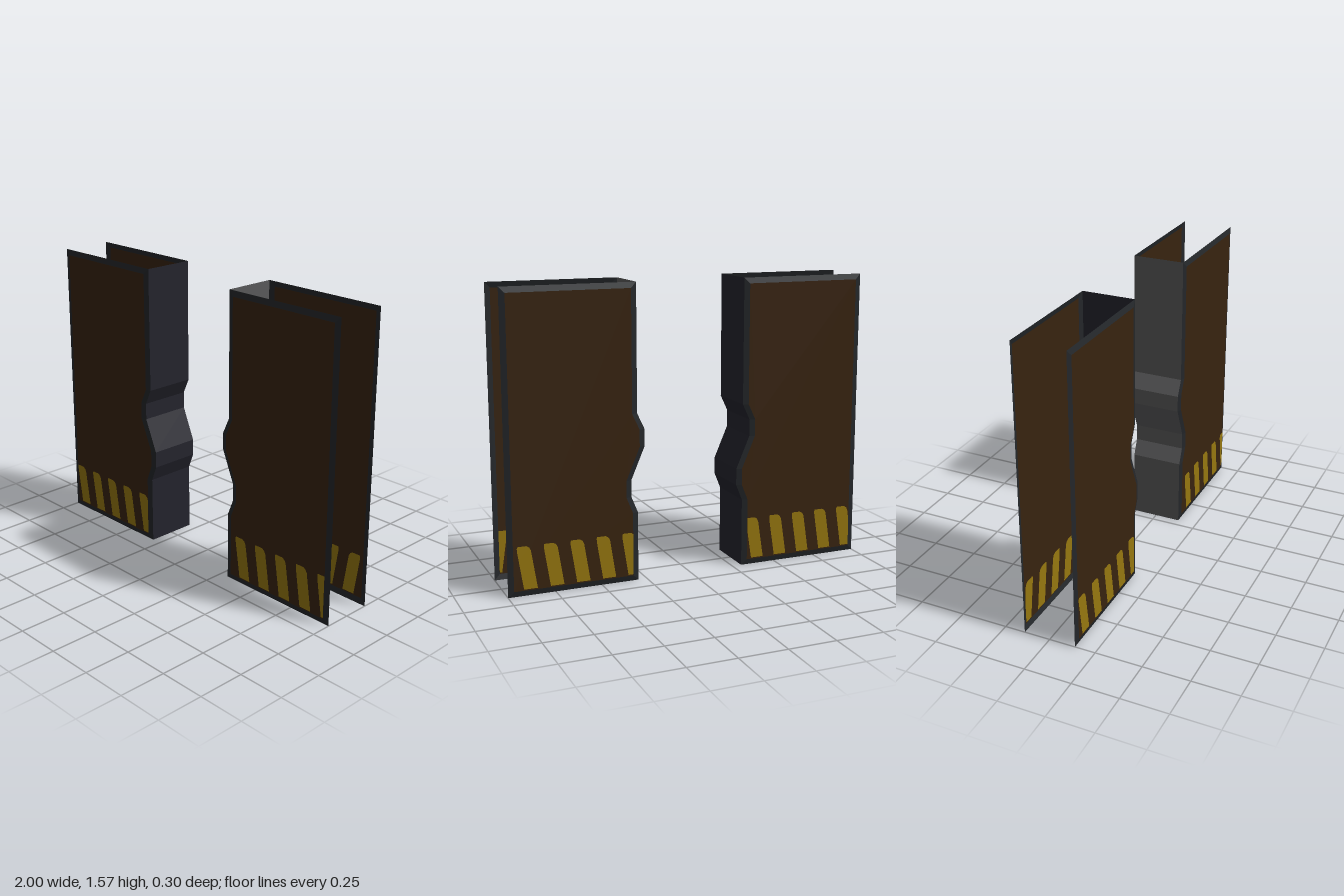
import * as THREE from 'three';

const material = (name, color) => {
  const m = new THREE.MeshStandardMaterial({ color, side: THREE.DoubleSide });
  m.name = name;
  return m;
};

const HEIGHT = 1.565, RIM = 0.03, Z_RIM = 0.14, Z_PANEL = 0.148;
// height and sideways shift of the interlocking edge
const EDGE = [[0, 0], [0.37, 0], [0.455, 0.035], [0.545, 0.035], [0.72, -0.04], [0.81, -0.04], [0.895, 0], [HEIGHT, 0]];

// door outline, inset evenly by d
function outline(side, edgeX, d) {
  const clampY = y => Math.min(Math.max(y, d), HEIGHT - d);
  const points = EDGE.map(([y, dx]) => [edgeX + dx + side * d, clampY(y)]);
  const outer = side * (1 - d);
  return [...points, [outer, HEIGHT - d], [outer, d]];
}

function shapeOf(points) {
  return new THREE.Shape(points.map(([x, y]) => new THREE.Vector2(x, y)));
}

// flat-shaded band joining two rows of 3D points
function band(rowA, rowB, closed) {
  const pos = [], n = rowA.length;
  for (let i = 0; i < (closed ? n : n - 1); i++) {
    const j = (i + 1) % n;
    pos.push(...rowA[i], ...rowA[j], ...rowB[j], ...rowA[i], ...rowB[j], ...rowB[i]);
  }
  const g = new THREE.BufferGeometry();
  g.setAttribute('position', new THREE.Float32BufferAttribute(pos, 3));
  g.computeVertexNormals();
  return g;
}

// slanted stripe with a rounded top, trimmed to the panel width
function stripe(start, min, max) {
  const bottom = 0.037, top = 0.265, width = 0.072;
  const lean = y => start + 0.035 * (top - y) / (top - bottom);
  const left = [], right = [];
  for (const [y, inset] of [[bottom, 0], [0.09, 0], [0.14, 0], [0.19, 0], [0.24, 0], [0.256, 0.006], [top, 0.02]]) {
    const clamp = x => Math.min(Math.max(x, min), max);
    left.push([clamp(lean(y) + inset * 0.3), y]);
    right.unshift([clamp(lean(y) + width - inset), y]);
  }
  return new THREE.ShapeGeometry(shapeOf([...left, ...right]));
}

export function createModel() {
  const brown = material('brown panel', 0x38230f);
  const yellow = material('warning yellow', 0x96770f);
  const rimMat = material('dark rim', 0x24272a);
  const grey = material('grey edge', 0x5a5a5b);
  const navy = material('dark edge', 0x24242d);

  const model = new THREE.Group();
  const add = (parent, name, geometry, mat) => {
    const mesh = new THREE.Mesh(geometry, mat);
    mesh.name = name;
    parent.add(mesh);
    return mesh;
  };

  // stripe offsets are measured from the viewer's left, front then back
  const doors = [
    { name: 'rightDoor', side: -1, edgeX: -0.303, mat: navy, offsets: [0.03, 0.02] },
    { name: 'leftDoor', side: 1, edgeX: 0.298, mat: grey, offsets: [0.062, 0.046] },
  ];

  for (const { name, side, edgeX, mat, offsets } of doors) {
    const door = new THREE.Group();
    door.name = name;
    model.add(door);

    // interlocking edge strip
    const row = z => EDGE.map(([y, dx]) => [edgeX + dx, y, z]);
    add(door, 'edgeStrip', band(row(Z_RIM), row(-Z_RIM), false), mat);

    const outer = outline(side, edgeX, 0), inner = outline(side, edgeX, RIM);
    [1, -1].forEach((face, i) => {
      const label = face > 0 ? 'front' : 'back';

      // bevelled rim and flat panel
      const at = (points, z) => points.map(([x, y]) => [x, y, face * z]);
      add(door, label + 'Rim', band(at(outer, Z_RIM), at(inner, Z_PANEL), true), rimMat);
      add(door, label + 'Panel', new THREE.ShapeGeometry(shapeOf(inner)), brown).position.z = face * Z_PANEL;

      // warning stripes on both sides of the sheet
      const ends = [face * side * 1, face * edgeX].sort((a, b) => a - b);
      const stripes = new THREE.Group();
      stripes.name = label + 'Stripes';
      if (face < 0) stripes.rotation.y = Math.PI;
      door.add(stripes);
      for (let k = 0; k < 5; k++) {
        const g = stripe(ends[0] + offsets[i] + k * 0.1405, ends[0] + RIM, ends[1] - RIM);
        for (const dz of [0.0015, -0.0015]) add(stripes, 'stripe', g, yellow).position.z = Z_PANEL + dz;
      }
    });
  }
  return model;
}
